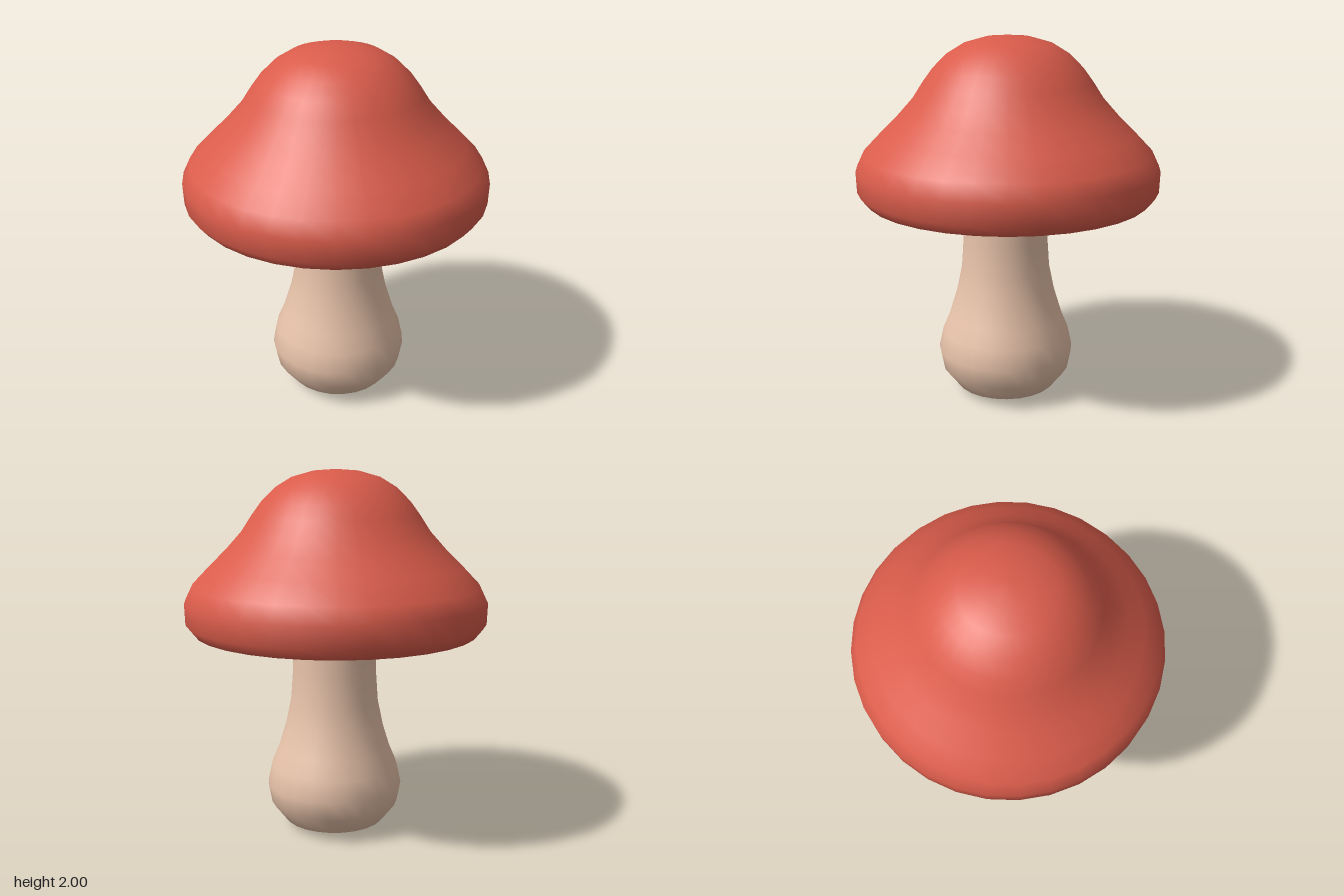
import * as THREE from 'three';

const material = (name, color, side = THREE.FrontSide) => {
  const m = new THREE.MeshStandardMaterial({ color, side });
  m.name = name;
  return m;
};

// Revolves [radius, height] pairs, listed from the bottom outward and up
function turned(name, profile, mat, segments) {
  const points = profile.map(([r, y]) => new THREE.Vector2(r, y));
  // Start half a segment round, so flat facets face the axes
  const geometry = new THREE.LatheGeometry(points, segments, Math.PI / segments);
  const mesh = new THREE.Mesh(geometry, mat);
  mesh.name = name;
  return mesh;
}

export function createModel() {
  const group = new THREE.Group();
  group.name = 'mushroom';
  const red = material('cap red', 0xda5c4b);
  const cream = material('stem cream', 0xe8c3aa);
  const brown = material('gill brown', 0xcb8360, THREE.DoubleSide);

  // Bulbous stem, running up into the hollow of the cap
  const stem = turned('stem', [
    [0, 0], [0.2, 0.008], [0.28, 0.04], [0.358, 0.14], [0.379, 0.25],
    [0.355, 0.36], [0.317, 0.45], [0.274, 0.59], [0.245, 0.73],
    [0.233, 0.9], [0.23, 1.1], [0.23, 1.26],
  ], cream, 24);
  stem.position.set(0.003, 0, 0.02);

  // Bell-shaped cap with a rounded rim
  const cap = turned('cap', [
    [0.71, 1.115], [0.775, 1.128], [0.821, 1.185], [0.825, 1.3], [0.784, 1.385],
    [0.693, 1.48], [0.597, 1.575], [0.512, 1.67], [0.457, 1.755], [0.402, 1.83],
    [0.327, 1.905], [0.237, 1.96], [0.12, 1.993], [0.02, 2], [0, 2],
  ], red, 32);

  // Hollow underside, curving up toward the stem
  const gills = turned('gills', [
    [0.15, 1.24], [0.3, 1.225], [0.45, 1.2], [0.6, 1.16], [0.71, 1.115],
  ], brown, 32);

  group.add(stem, cap, gills);
  return group;
}
